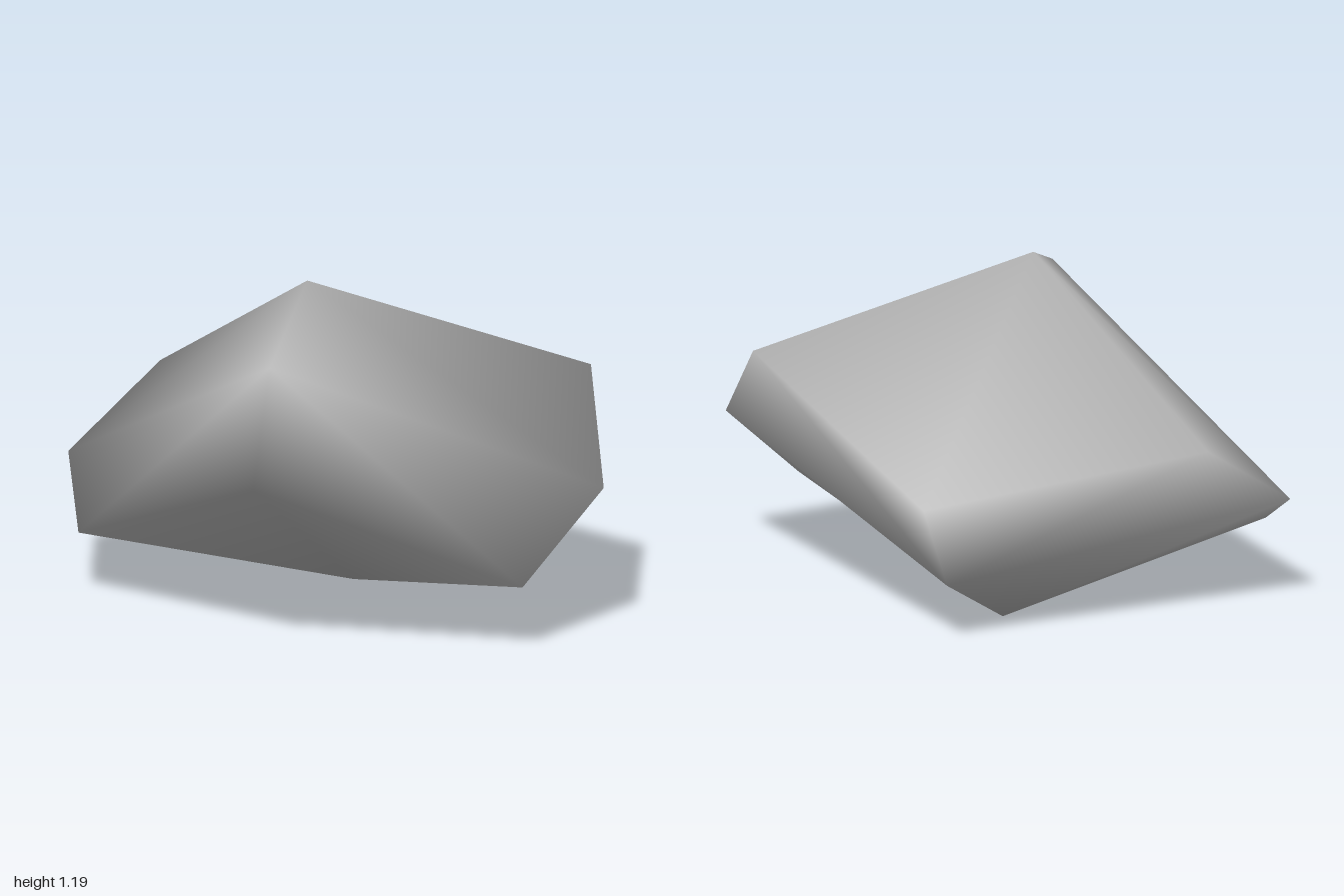
import * as THREE from 'three';

// Three four-cornered rings, each listed front, left (+x), back, right (-x)
const TOP = [[-0.05, 1.19, 0.12], [0.8, 0.885, -0.35], [0.02, 0.545, -0.79], [-0.82, 0.68, -0.25]];
const MIDDLE = [[0.035, 1.01, 0.55], [1, 0.55, -0.07], [-0.015, 0.23, -0.65], [-1, 0.42, 0.08]];
const BOTTOM = [[0.1, 0.65, 0.79], [0.84, 0.25, 0.22], [-0.08, 0, -0.27], [-0.81, 0.235, 0.36]];

function rockGeometry() {
  const rings = [TOP, MIDDLE, BOTTOM];
  const index = [];

  // Side bands, with the quads split symmetrically about the middle
  for (let r = 0; r < 2; r++) {
    for (let i = 0; i < 4; i++) {
      const j = (i + 1) % 4;
      const u0 = r * 4 + i, u1 = r * 4 + j;
      const l0 = u0 + 4, l1 = u1 + 4;
      if (i < 2) index.push(u0, l0, l1, u0, l1, u1);
      else index.push(u0, l0, u1, l0, l1, u1);
    }
  }
  // Top and bottom facets
  index.push(0, 1, 2, 0, 2, 3);
  index.push(8, 10, 9, 8, 11, 10);

  const geometry = new THREE.BufferGeometry();
  geometry.setAttribute('position', new THREE.Float32BufferAttribute(rings.flat(2), 3));
  geometry.setIndex(index);
  geometry.computeVertexNormals();
  return geometry;
}

export function createModel() {
  const stone = new THREE.MeshStandardMaterial({ color: 0xb0b0b0 });
  stone.name = 'stone grey';

  const rock = new THREE.Mesh(rockGeometry(), stone);
  rock.name = 'rock';

  const group = new THREE.Group();
  group.name = 'boulder';
  group.add(rock);
  return group;
}
